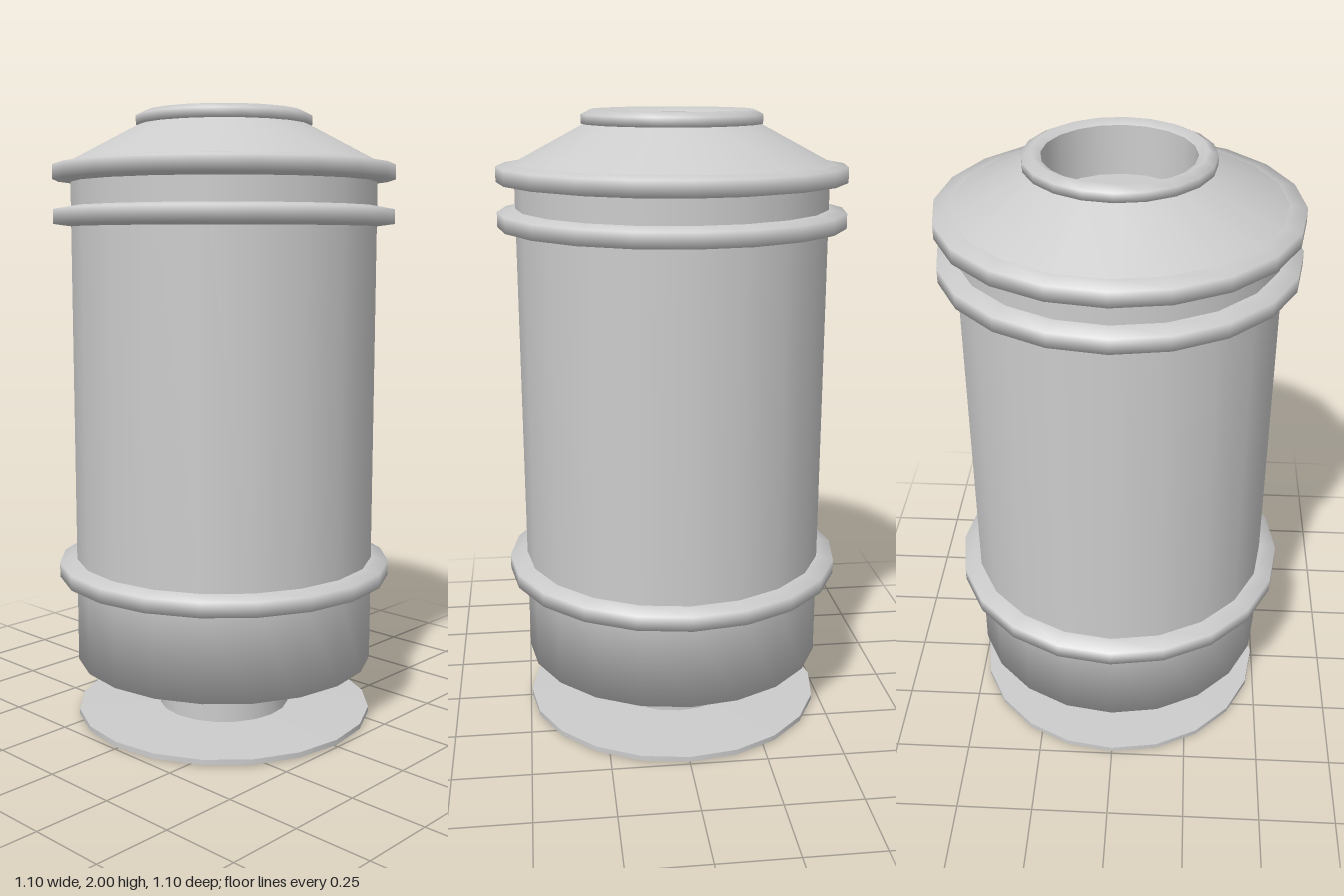
import * as THREE from 'three';

const SIDES = 20;

export function createModel() {
  const model = new THREE.Group();
  const material = new THREE.MeshStandardMaterial({ color: 0xcccccc });

  // Smooth 20-sided turned part; profiles run bottom to top on the outside
  const turned = (name, profile) => {
    const points = profile.map(([r, y]) => new THREE.Vector2(r, y));
    const mesh = new THREE.Mesh(new THREE.LatheGeometry(points, SIDES), material);
    mesh.name = name;
    model.add(mesh);
  };

  // Foot: thin flange with a central hole, and the pipe rising from it
  turned('footPlateUnderside', [[0.215, 0], [0.495, 0.005]]);
  turned('footPlateEdge', [[0.495, 0.005], [0.495, 0.022]]);
  turned('footPlateTop', [[0.495, 0.022], [0.22, 0.03]]);
  turned('footPipe', [[0.22, 0.025], [0.22, 0.17]]);
  turned('footPipeBore', [[0.215, 0.14], [0.215, 0]]);
  turned('footPipeCeiling', [[0, 0.14], [0.215, 0.14]]);

  // Body: softly shaded lower bowl and straight cylinder
  turned('lowerBowl', [[0.2, 0.165], [0.495, 0.2], [0.495, 0.5]]);
  turned('body', [[0.495, 0.5], [0.495, 1.82]]);

  // Raised bands around the body
  for (const [name, y] of [['lowerBand', 0.48], ['upperBand', 1.635], ['lidBand', 1.775]]) {
    turned(name, [[0.49, y], [0.552, y + 0.008], [0.552, y + 0.055], [0.49, y + 0.066]]);
  }

  // Conical lid with a collar around the opening
  turned('lid', [[0.505, 1.836], [0.27, 1.96]]);
  turned('collar', [[0.25, 1.953], [0.285, 1.957], [0.285, 1.985], [0.255, 2], [0.228, 1.985]]);
  turned('openingWall', [[0.228, 1.985], [0.225, 1.83]]);
  turned('openingFloor', [[0.225, 1.83], [0, 1.83]]);

  return model;
}
